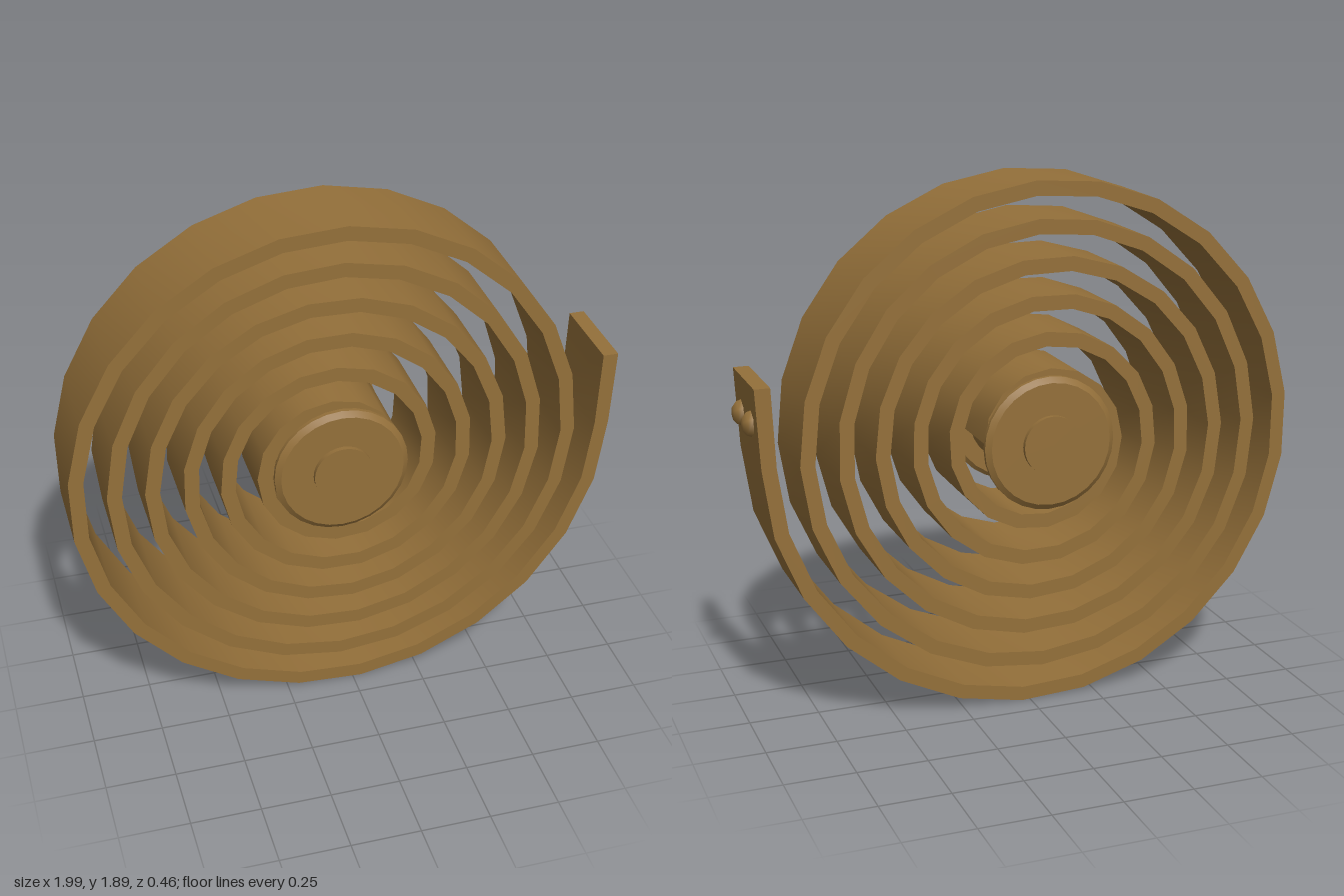
import * as THREE from 'three';
import { toCreasedNormals } from 'three/addons/utils/BufferGeometryUtils.js';

const CX = -0.055, CY = 0.981;   // hub centre
const TURNS = 6, PITCH = 0.131, START = 0.2245;   // outer-edge spiral
const THICK = 0.052, WIDTH = 0.32;

// Outer radius of the strip after a given number of turns
const radiusAt = (turns) => START + PITCH * turns;

// Flat spiral strip with a straight mounting tab at its outer end
function spiralGeometry() {
  const outer = [new THREE.Vector2(0.97, 1.26)];
  const inner = [new THREE.Vector2(0.915, 1.26)];
  const end = TURNS * Math.PI * 2;
  for (let a = end; a > 0;) {
    const r = radiusAt(a / (Math.PI * 2));
    const c = Math.cos(a), s = Math.sin(a);
    outer.push(new THREE.Vector2(CX + r * c, CY + r * s));
    inner.push(new THREE.Vector2(CX + (r - THICK) * c, CY + (r - THICK) * s));
    // steps widen towards the middle
    a -= 0.2513 * Math.pow(0.95 / r, 0.35);
  }
  const shape = new THREE.Shape([...outer, ...inner.reverse()]);
  const geo = new THREE.ExtrudeGeometry(shape, { depth: WIDTH, bevelEnabled: false });
  geo.translate(0, 0, -WIDTH / 2);
  return toCreasedNormals(geo, 0.55);
}

// Hub turned as one profile: core, chamfered flanges and pin ends
function hubGeometry() {
  const half = [
    [0.165, 0.173], [0.225, 0.173], [0.24, 0.185], [0.24, 0.2],
    [0.22, 0.215], [0.105, 0.215], [0.105, 0.232], [0, 0.232],
  ];
  const front = half.map(([r, z]) => new THREE.Vector2(r, z));
  const back = half.map(([r, z]) => new THREE.Vector2(r, -z)).reverse();
  const geo = new THREE.LatheGeometry([...back, ...front], 28);
  geo.rotateX(Math.PI / 2);
  return toCreasedNormals(geo, 0.5);
}

export function createModel() {
  const model = new THREE.Group();
  model.name = 'spiralSpring';
  const brass = new THREE.MeshStandardMaterial({ color: 0x94703a });
  brass.name = 'agedBrass';

  const add = (name, geo, x = 0, y = 0, z = 0) => {
    const mesh = new THREE.Mesh(geo, brass);
    mesh.name = name;
    mesh.position.set(x, y, z);
    model.add(mesh);
    return mesh;
  };

  add('spiralStrip', spiralGeometry());
  add('hub', hubGeometry(), CX, CY, 0);

  // Domed rivets on the outer face of the tab
  const dome = new THREE.SphereGeometry(0.046, 6, 3, 0, Math.PI * 2, 0, Math.PI / 2);
  dome.scale(1, 0.75, 1);
  dome.rotateY(Math.PI / 2);
  dome.rotateZ(-Math.PI / 2);
  dome.rotateX(Math.PI / 2);
  for (const side of [-1, 1]) {
    add(side > 0 ? 'frontRivet' : 'backRivet', dome, 0.965, 1.122, side * 0.075);
  }
  return model;
}
